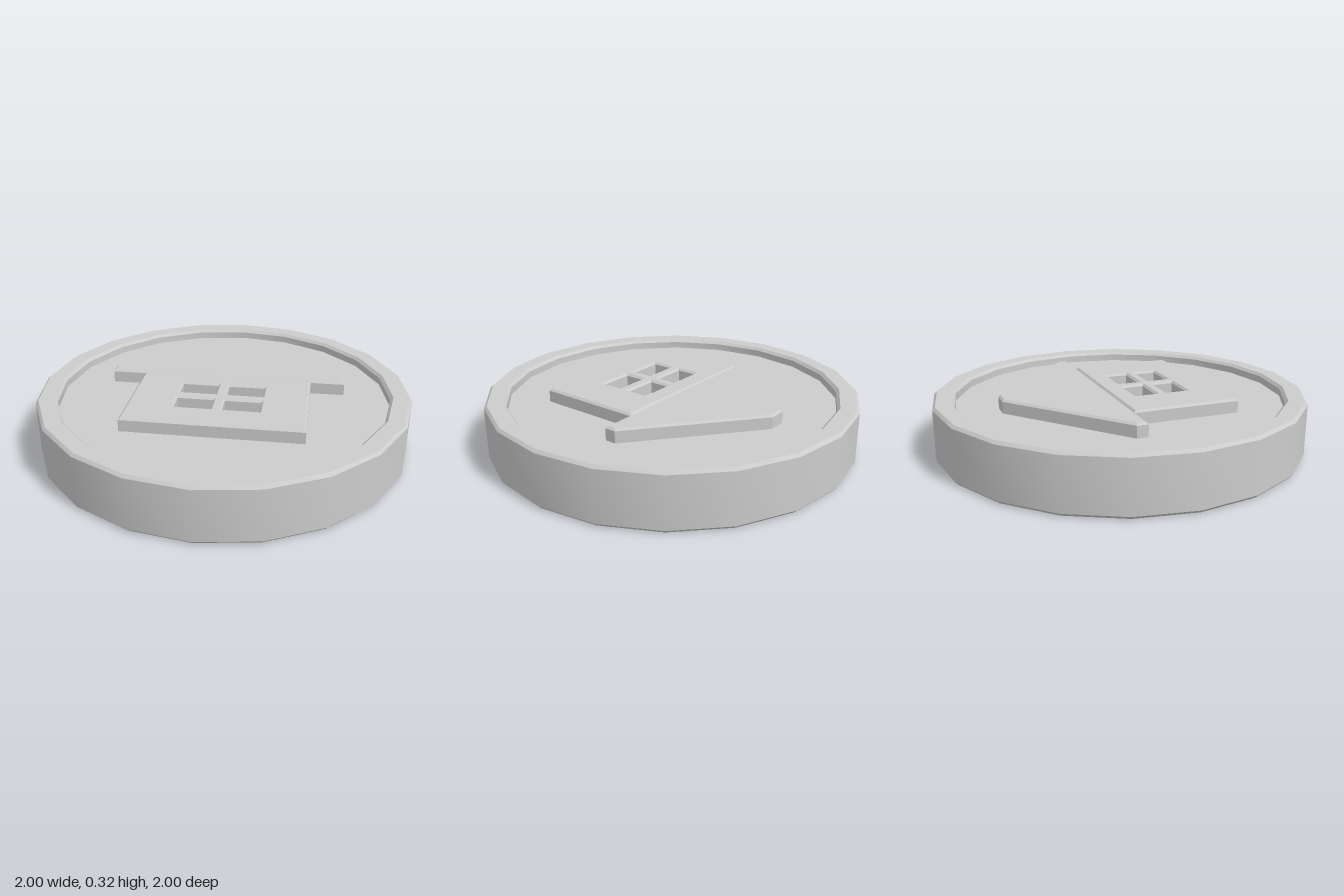
import * as THREE from 'three';
import { toCreasedNormals } from 'three/addons/utils/BufferGeometryUtils.js';

const FLOOR = 0.247; // recessed top face
const TOP = 0.32; // top of the raised house
const BEVEL = 0.011;

// Closed outline from [x, z] pairs; shape y points to -z
function outline(points, Type = THREE.Shape) {
  return new Type(points.map(([x, z]) => new THREE.Vector2(x, -z)));
}

function rectangle(x0, x1, z0, z1) {
  return [[x0, z0], [x0, z1], [x1, z1], [x1, z0]];
}

// Raised plate with a chamfered top edge, its foot sunk into the disc
function raised(shape, material, name) {
  const foot = FLOOR - 0.03;
  const geometry = new THREE.ExtrudeGeometry(shape, {
    depth: TOP - foot - 2 * BEVEL,
    bevelEnabled: true,
    bevelThickness: BEVEL,
    bevelSize: BEVEL,
    bevelOffset: -BEVEL,
    bevelSegments: 1,
  });
  geometry.translate(0, 0, foot + BEVEL);
  geometry.rotateX(-Math.PI / 2);
  const mesh = new THREE.Mesh(geometry, material);
  mesh.name = name;
  return mesh;
}

export function createModel() {
  const group = new THREE.Group();
  group.name = 'houseToken';
  const grey = new THREE.MeshStandardMaterial({ color: 0xcccccc });
  grey.name = 'lightGrey';

  // Twenty-sided disc with chamfered rims and a recess on both faces
  const profile = [
    [0, 0.053], [0.887, 0.053], [0.887, 0.015], [0.902, 0], [0.986, 0], [1, 0.015],
    [1, 0.285], [0.986, 0.3], [0.902, 0.3], [0.887, 0.285], [0.887, FLOOR], [0, FLOOR],
  ].map(([r, y]) => new THREE.Vector2(r, y));
  const disc = new THREE.Mesh(toCreasedNormals(new THREE.LatheGeometry(profile, 20), 0.5), grey);
  disc.name = 'disc';
  group.add(disc);

  // House wall with four window panes cut through
  const wall = outline(rectangle(-0.463, 0.463, -0.1, 0.473));
  for (const [x0, x1] of [[-0.22, -0.03], [0.03, 0.22]]) {
    for (const [z0, z1] of [[0.01, 0.125], [0.185, 0.3]]) {
      wall.holes.push(outline(rectangle(x0, x1, z0, z1), THREE.Path));
    }
  }
  group.add(raised(wall, grey, 'houseWall'));

  // Roof with clipped eaves and a flat ridge
  const roof = outline([
    [-0.645, -0.102], [0.645, -0.102], [0.645, -0.16],
    [0.048, -0.656], [-0.048, -0.656], [-0.645, -0.16],
  ]);
  group.add(raised(roof, grey, 'roof'));

  return group;
}
